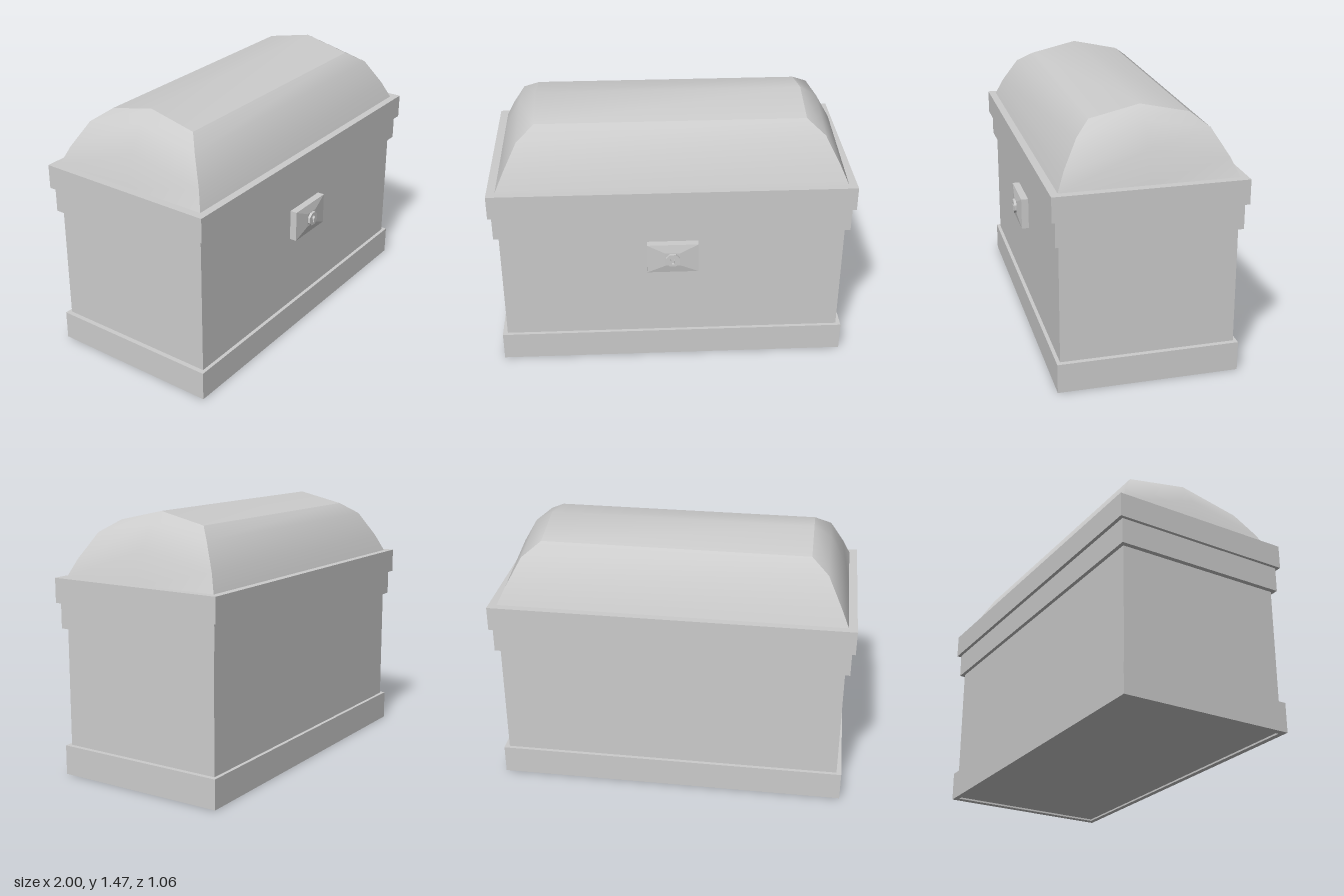
import * as THREE from 'three';

const CZ = -0.01; // depth centre of the chest (the lock sticks out in front)
const grey = new THREE.MeshStandardMaterial({ color: 0xcccccc });

function add(parent, name, geometry) {
  const mesh = new THREE.Mesh(geometry, grey);
  mesh.name = name;
  parent.add(mesh);
  return mesh;
}

function rect(target, hx, hy) {
  target.moveTo(-hx, -hy).lineTo(hx, -hy).lineTo(hx, hy).lineTo(-hx, hy).closePath();
  return target;
}

// Rectangular frame lying flat around the body, from y0 to y1
function frame(hx, hz, y0, y1) {
  const shape = rect(new THREE.Shape(), hx, hz);
  shape.holes.push(rect(new THREE.Path(), 0.945, 0.467));
  const g = new THREE.ExtrudeGeometry(shape, { depth: y1 - y0, bevelEnabled: false });
  return g.rotateX(-Math.PI / 2).translate(0, y0, CZ);
}

// Smooth surface through rows of points; rows go up, columns go right seen from outside
function patch(rows) {
  const n = rows[0].length, index = [];
  for (let r = 0; r < rows.length - 1; r++) {
    for (let c = 0; c < n - 1; c++) {
      const a = r * n + c, b = a + 1, d = a + n, e = d + 1;
      index.push(a, b, e, a, e, d);
    }
  }
  const g = new THREE.BufferGeometry();
  g.setAttribute('position', new THREE.Float32BufferAttribute(rows.flat(2), 3));
  g.setIndex(index);
  g.computeVertexNormals();
  return g;
}

// Domed lid: rectangular rings whose short sides peak in the middle
function makeLid() {
  const lid = new THREE.Group();
  lid.name = 'lid';
  lid.position.z = CZ;
  // half width, half depth, corner height, peak height
  const rings = [
    [0.955, 0.477, 1.10, 1.10],
    [0.908, 0.434, 1.20, 1.278],
    [0.832, 0.352, 1.34, 1.41],
    [0.738, 0.268, 1.405, 1.465],
  ];
  const side = patch(rings.map(([x, z, y]) => [[-x, y, z], [x, y, z]]));
  const end = patch(rings.map(([x, z, y, p]) => [[x, y, z], [x, p, 0], [x, y, -z]]));
  for (const [name, geo, turn] of [
    ['lidFront', side, 0], ['lidBack', side, Math.PI],
    ['lidLeftEnd', end, 0], ['lidRightEnd', end, Math.PI],
  ]) add(lid, name, geo).rotation.y = turn;

  const [x, z, y, p] = rings[3];
  add(lid, 'lidTop', patch([
    [[-x, y, z], [x, y, z]], [[-x, p, 0], [x, p, 0]], [[-x, y, -z], [x, y, -z]],
  ]));
  return lid;
}

// Lock: plate with a slightly raised face, and a round escutcheon with a keyhole
function makeLock() {
  const lock = new THREE.Group();
  lock.name = 'lock';
  lock.position.set(-0.002, 0.68, 0);
  add(lock, 'lockPlate', new THREE.BoxGeometry(0.285, 0.178, 0.045).translate(0, 0, 0.4845));

  // Raised face: a shallow box whose front shrinks towards the escutcheon
  const face = new THREE.BoxGeometry(1, 1, 0.01).toNonIndexed();
  const pos = face.attributes.position;
  for (let i = 0; i < pos.count; i++) {
    const front = pos.getZ(i) > 0;
    pos.setX(i, pos.getX(i) * (front ? 0.08 : 0.285));
    pos.setY(i, pos.getY(i) * (front ? 0.08 : 0.178));
  }
  face.computeVertexNormals();
  add(lock, 'lockFace', face.translate(0, 0, 0.512));

  const disc = new THREE.Shape();
  for (let i = 0; i < 8; i++) {
    const a = (i + 0.5) * Math.PI / 4;
    disc[i ? 'lineTo' : 'moveTo'](0.041 * Math.cos(a), 0.041 * Math.sin(a));
  }
  disc.closePath();
  const keyhole = new THREE.Path();
  keyhole.moveTo(-0.007, -0.024).lineTo(0.007, -0.024).lineTo(0.007, -0.004);
  keyhole.absarc(0, 0.008, 0.014, -Math.PI / 3, Math.PI * 4 / 3, false);
  keyhole.closePath();
  disc.holes.push(keyhole);
  add(lock, 'escutcheon', new THREE.ExtrudeGeometry(disc, {
    depth: 0.02, bevelEnabled: false, curveSegments: 6,
  }).translate(0, 0, 0.511));
  return lock;
}

export function createModel() {
  const chest = new THREE.Group();
  chest.name = 'chest';

  // Body, with its floor slightly above the bottom of the base frame
  add(chest, 'body', new THREE.BoxGeometry(1.91, 1.09, 0.954).translate(0, 0.555, CZ));
  add(chest, 'baseFrame', frame(0.982, 0.497, 0, 0.165));
  add(chest, 'upperBand', frame(0.982, 0.498, 0.825, 0.966));
  add(chest, 'lidRim', frame(1, 0.518, 0.966, 1.102));

  chest.add(makeLid(), makeLock());
  return chest;
}
